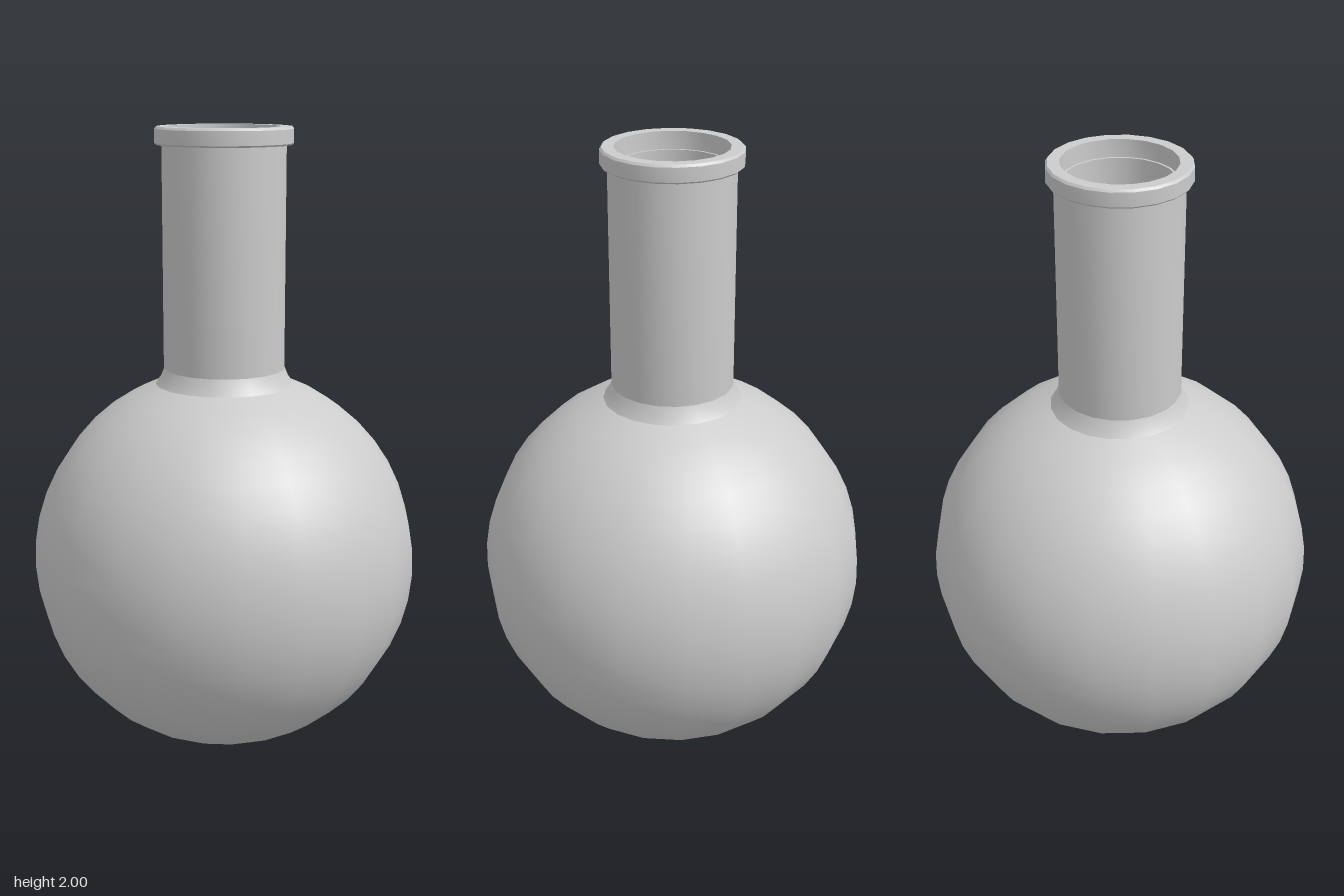
import * as THREE from 'three';
import { toCreasedNormals } from 'three/addons/utils/BufferGeometryUtils.js';

const SIDES = 20;
const CENTER = 0.62; // height of the bulb's centre

export function createModel() {
  const group = new THREE.Group();
  const material = new THREE.MeshStandardMaterial({ color: 0xcccccc });

  // Spins a profile of [radius, height] pairs; outside runs upward, inside downward
  function addTurned(name, profile, crease = 0.55) {
    const points = profile.map(([r, y]) => new THREE.Vector2(r, y));
    const geometry = toCreasedNormals(new THREE.LatheGeometry(points, SIDES), crease);
    const mesh = new THREE.Mesh(geometry, material);
    mesh.name = name;
    group.add(mesh);
  }

  // Points on a circle from the bottom pole up to where it meets the given radius
  function bulbArc(radius, openRadius, steps = 20) {
    const end = Math.PI - Math.asin(openRadius / radius);
    return Array.from({ length: steps + 1 }, (_, i) => {
      const a = (end * i) / steps;
      return [i === 0 ? 0 : radius * Math.sin(a), CENTER - radius * Math.cos(a)];
    });
  }

  // Round bulb, outer and inner wall
  const outer = bulbArc(0.62, 0.22);
  const inner = bulbArc(0.59, 0.165).reverse();
  addTurned('bulbOutside', outer);
  addTurned('bulbInside', inner);

  // Sloped shoulder between bulb and neck
  addTurned('shoulder', [outer[outer.length - 1], [0.205, 1.22], [0.193, 1.25]]);

  // Straight neck, outer and inner wall
  addTurned('neckOutside', [[0.193, 1.25], [0.193, 1.95]]);
  addTurned('neckInside', [[0.165, 1.945], inner[0]]);

  // Rim with small bevels and an inner step
  addTurned('rim', [
    [0.193, 1.945], [0.21, 1.945], [0.215, 1.95], [0.215, 1.993],
    [0.209, 2], [0.173, 2], [0.172, 1.945], [0.165, 1.945],
  ]);

  return group;
}
